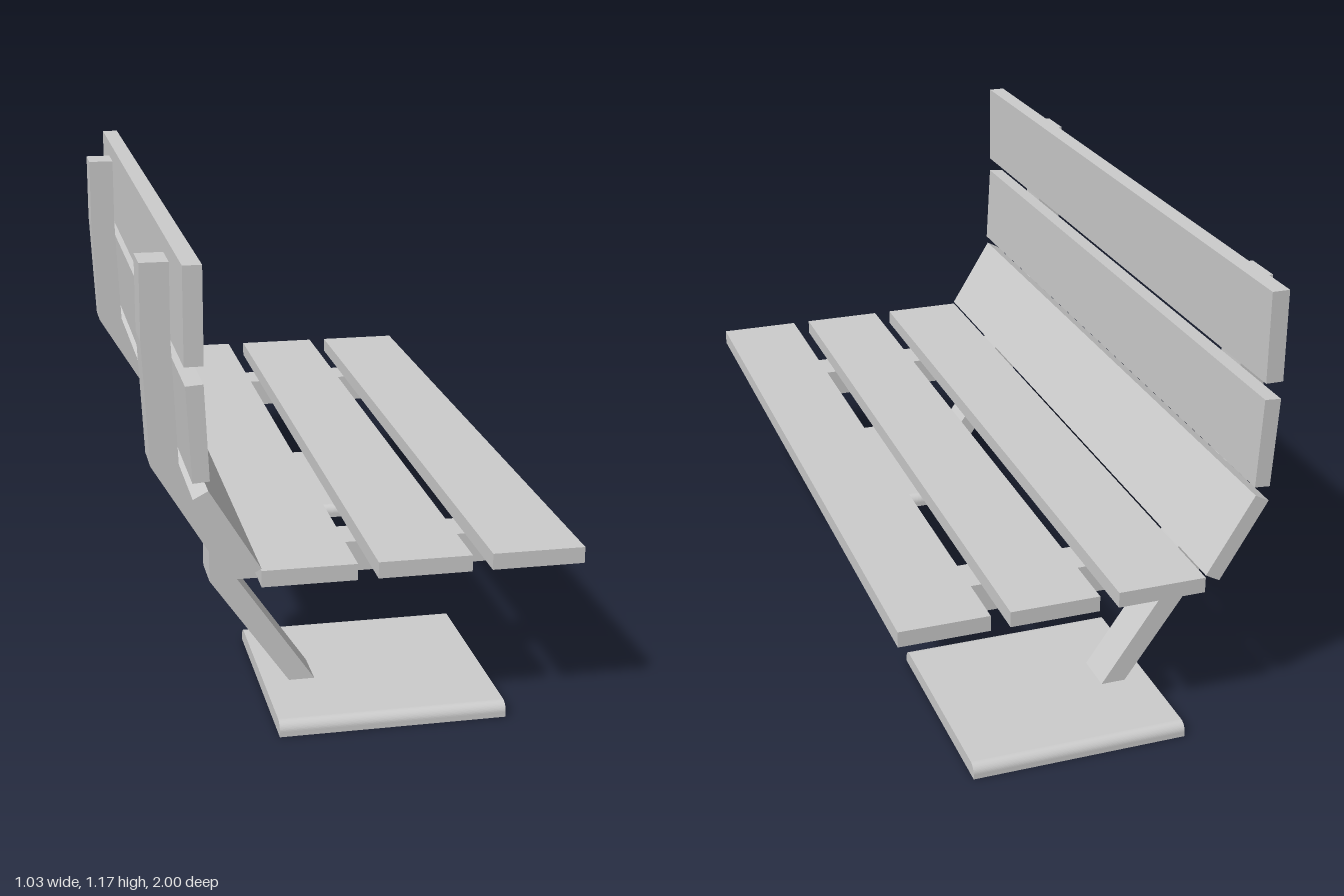
import * as THREE from 'three';

const material = new THREE.MeshStandardMaterial({ color: 0xcccccc });

// Extrudes a side profile (x, y) between two z positions
function profilePart(name, points, z0, z1) {
  const shape = new THREE.Shape(points.map(([x, y]) => new THREE.Vector2(x, y)));
  const geometry = new THREE.ExtrudeGeometry(shape, { depth: z1 - z0, bevelEnabled: false });
  geometry.translate(0, 0, z0);
  const mesh = new THREE.Mesh(geometry, material);
  mesh.name = name;
  return mesh;
}

const rect = (x0, x1, y0, y1) => [[x0, y0], [x1, y0], [x1, y1], [x0, y1]];

// Foot plate with its upper edges rounded at both z ends
function footPlate(zCentre) {
  const half = 0.2825, height = 0.037, r = 0.024;
  const shape = new THREE.Shape();
  shape.moveTo(-half, 0);
  shape.lineTo(half, 0);
  shape.lineTo(half, height - r);
  shape.absarc(half - r, height - r, r, 0, Math.PI / 2);
  shape.lineTo(-half + r, height);
  shape.absarc(-half + r, height - r, r, Math.PI / 2, Math.PI);
  const geometry = new THREE.ExtrudeGeometry(shape, { depth: 0.565, bevelEnabled: false, curveSegments: 6 });
  geometry.translate(0, 0, -0.23);
  geometry.rotateY(Math.PI / 2);
  const mesh = new THREE.Mesh(geometry, material);
  mesh.name = 'footPlate';
  mesh.position.z = zCentre;
  return mesh;
}

export function createModel() {
  const bench = new THREE.Group();
  bench.name = 'bench';

  // Bent support: leg, seat arm and back post in one piece
  const support = [
    [-0.163, 0.034], [-0.098, 0.034], [-0.295, 0.322], [0.455, 0.322], [0.455, 0.4],
    [-0.295, 0.4], [-0.434, 0.63], [-0.448, 0.94], [-0.448, 1.13],
    [-0.519, 1.13], [-0.519, 0.94], [-0.503, 0.63], [-0.364, 0.4], [-0.364, 0.322],
  ];
  for (const [postZ, plateZ] of [[0.705, 0.7025], [-0.71, -0.7175]]) {
    bench.add(profilePart('support', support, postZ - 0.054, postZ + 0.054));
    bench.add(footPlate(plateZ));
  }

  // Slats run the full length of the bench
  const seatSlats = [-0.275, 0.005, 0.285].map((x) => rect(x, x + 0.23, 0.4, 0.441));
  const backSlats = [
    [[-0.312, 0.427], [-0.275, 0.447], [-0.397, 0.647], [-0.433, 0.628]],
    [[-0.433, 0.667], [-0.393, 0.67], [-0.404, 0.901], [-0.446, 0.898]],
    rect(-0.448, -0.403, 0.943, 1.175),
  ];
  for (const slat of seatSlats) bench.add(profilePart('seatSlat', slat, -0.978, 1));
  for (const slat of backSlats) bench.add(profilePart('backSlat', slat, -0.978, 1));

  return bench;
}
